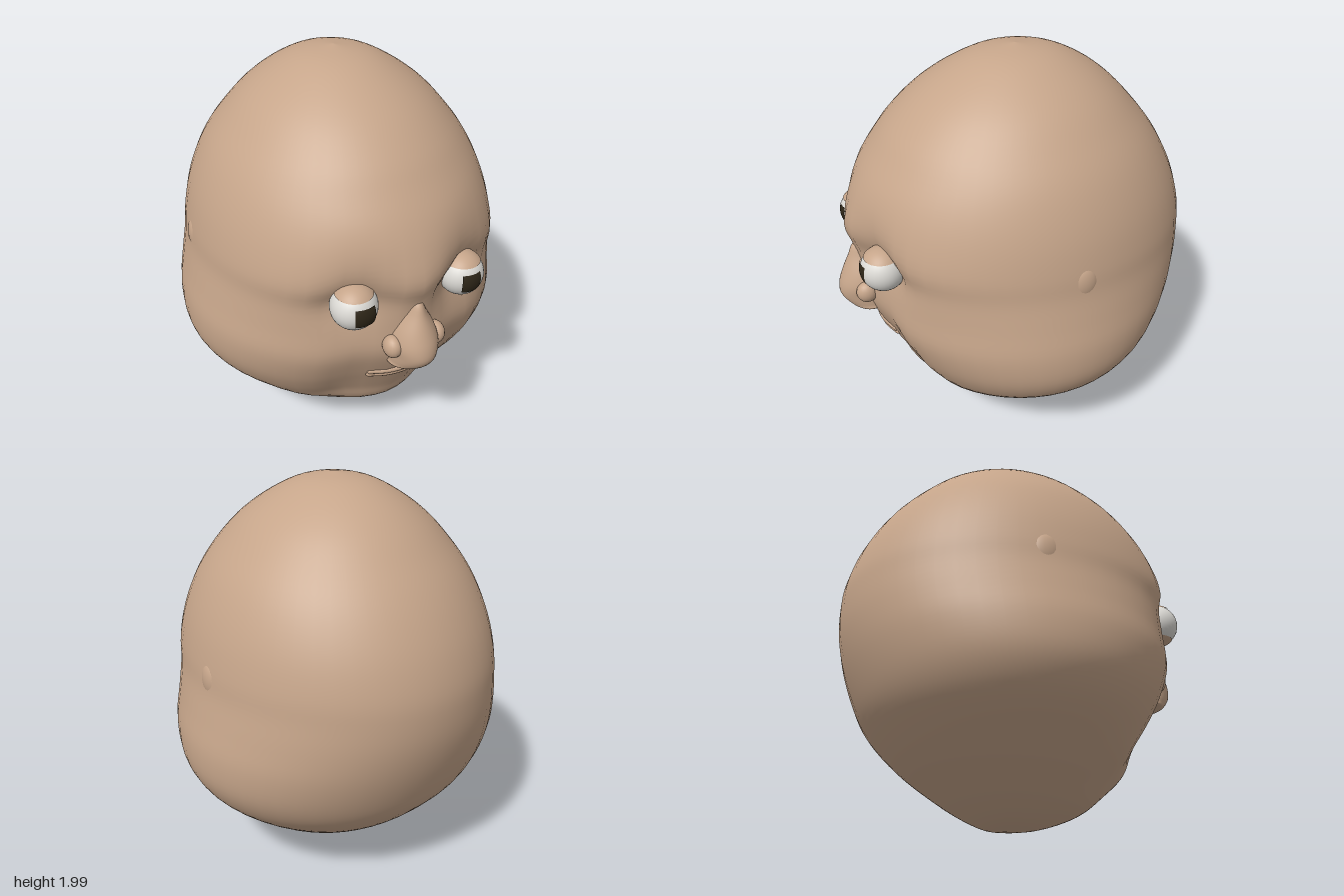
import * as THREE from 'three';

const SEG = 56;
const skin = new THREE.MeshStandardMaterial({ name: 'skin', color: 0xc6a58a });
const eyeWhite = new THREE.MeshStandardMaterial({ name: 'eyeWhite', color: 0xdcdad5 });
const pupilDark = new THREE.MeshStandardMaterial({ name: 'pupilDark', color: 0x2e2618 });

function add(parent, name, geometry, material, x = 0, y = 0, z = 0) {
  const mesh = new THREE.Mesh(geometry, material);
  mesh.name = name;
  mesh.position.set(x, y, z);
  parent.add(mesh);
  return mesh;
}

// Closed surface through stacked rings; sections are [y, halfWidth, frontZ, backZ]
function loft(sections, rings, centreZ, adjust) {
  const front = new THREE.CatmullRomCurve3(sections.map(([y, w, f]) => new THREE.Vector3(w, y, f)), false, 'catmullrom');
  const back = new THREE.CatmullRomCurve3(sections.map(([y, w, f, b]) => new THREE.Vector3(w, y, b)), false, 'catmullrom');
  const pos = [], index = [];
  for (let i = 0; i <= rings; i++) {
    const p = front.getPoint(i / rings), b = back.getPoint(i / rings).z;
    for (let j = 0; j < SEG; j++) {
      const a = (j / SEG) * Math.PI * 2, c = Math.cos(a);
      const x = p.x * Math.sin(a);
      const z = centreZ + (c > 0 ? p.z - centreZ : centreZ - b) * c;
      pos.push(x, p.y, c > 0 && adjust ? adjust(x, p.y, z) : z);
      if (i < rings) {
        const k = (j + 1) % SEG, q = i * SEG, r = q + SEG;
        index.push(q + j, q + k, r + k, q + j, r + k, r + j);
      }
    }
  }
  const g = new THREE.BufferGeometry();
  g.setAttribute('position', new THREE.Float32BufferAttribute(pos, 3));
  g.setIndex(index);
  g.computeVertexNormals();
  return g;
}

// Flattened cheeks beside the centre line and hollows for the eyes
function shapeFace(x, y, z) {
  const ax = Math.abs(x);
  const fade = THREE.MathUtils.smoothstep(y, 0.1, 0.4) * (1 - THREE.MathUtils.smoothstep(y, 1.1, 1.5));
  const plane = 0.04 * fade * Math.exp(-(((ax - 0.25) / 0.13) ** 2));
  const socket = 0.07 * Math.exp(-(((ax - 0.285) / 0.16) ** 2) - ((y - 1.09) / 0.14) ** 2);
  return z - plane - socket;
}

const HEAD = [
  [0.008, 0, -0.04, -0.04], [0.03, 0.15, 0.15, -0.15], [0.1, 0.3, 0.34, -0.29],
  [0.2, 0.45, 0.47, -0.44], [0.3, 0.58, 0.575, -0.57], [0.4, 0.7, 0.62, -0.67],
  [0.5, 0.785, 0.67, -0.75], [0.62, 0.835, 0.73, -0.81], [0.77, 0.84, 0.79, -0.865],
  [0.92, 0.81, 0.8, -0.9], [1.06, 0.78, 0.82, -0.91], [1.18, 0.765, 0.85, -0.9],
  [1.32, 0.735, 0.81, -0.86], [1.45, 0.69, 0.75, -0.8], [1.57, 0.63, 0.67, -0.725],
  [1.68, 0.55, 0.585, -0.635], [1.8, 0.44, 0.455, -0.52], [1.9, 0.305, 0.3, -0.385],
  [1.97, 0.165, 0.14, -0.23], [2, 0, -0.04, -0.04],
];

const NOSE = [
  [0.716, 0, 0.78, 0.74], [0.717, 0.11, 0.85, 0.7], [0.74, 0.115, 0.885, 0.7], [0.79, 0.115, 0.914, 0.7],
  [0.85, 0.12, 0.91, 0.7], [0.92, 0.1, 0.885, 0.7], [1, 0.058, 0.85, 0.7],
  [1.06, 0.03, 0.825, 0.7], [1.09, 0, 0.78, 0.74],
];

function makeEye(side) {
  const eye = new THREE.Group();
  eye.name = side > 0 ? 'leftEye' : 'rightEye';
  eye.position.set(side * 0.283, 1.09, 0.72);
  add(eye, 'eyeball', new THREE.SphereGeometry(0.11, 32, 24), eyeWhite);
  // Lids are skin caps over the top and bottom of the eyeball
  add(eye, 'upperLid', new THREE.SphereGeometry(0.114, 32, 8, 0, Math.PI * 2, 0, 0.88), skin);
  add(eye, 'lowerLid', new THREE.SphereGeometry(0.114, 32, 8, 0, Math.PI * 2, Math.PI - 0.72, 0.72), skin);
  // Square pupil wrapped onto the front of the eyeball
  const h = 0.47, v = 0.43;
  add(eye, 'pupil', new THREE.SphereGeometry(0.113, 8, 8, Math.PI / 2 - h, h * 2, Math.PI / 2 - v, v * 2), pupilDark, side * -0.006);
  return eye;
}

export function createModel() {
  const model = new THREE.Group();
  model.name = 'head';
  add(model, 'skull', loft(HEAD, 76, -0.04, shapeFace), skin);

  // Nose
  add(model, 'nose', loft(NOSE, 32, 0.76), skin);
  for (const side of [-1, 1]) {
    add(model, 'nostril', new THREE.SphereGeometry(1, 20, 14), skin, side * 0.115, 0.84, 0.79).scale.set(0.046, 0.058, 0.055);
    model.add(makeEye(side));
    // Ears lie almost flush with the head
    const ear = add(model, side > 0 ? 'leftEar' : 'rightEar', new THREE.SphereGeometry(1, 24, 16), skin, side * 0.735, 1.12, -0.1);
    ear.scale.set(0.042, 0.095, 0.075);
  }

  // Lips follow the curve of the face
  for (const [name, y, z, r] of [['upperLip', 0.606, 0.718, 0.016], ['lowerLip', 0.582, 0.708, 0.017]]) {
    const path = new THREE.CatmullRomCurve3([-0.165, -0.085, 0, 0.085, 0.165].map(
      (x) => new THREE.Vector3(x, y, z - 1.6 * x * x)));
    add(model, name, new THREE.TubeGeometry(path, 20, r, 10), skin);
    for (const t of [0, 1]) {
      const p = path.getPoint(t);
      add(model, 'lipCorner', new THREE.SphereGeometry(r, 12, 8), skin, p.x, p.y, p.z);
    }
  }
  return model;
}
